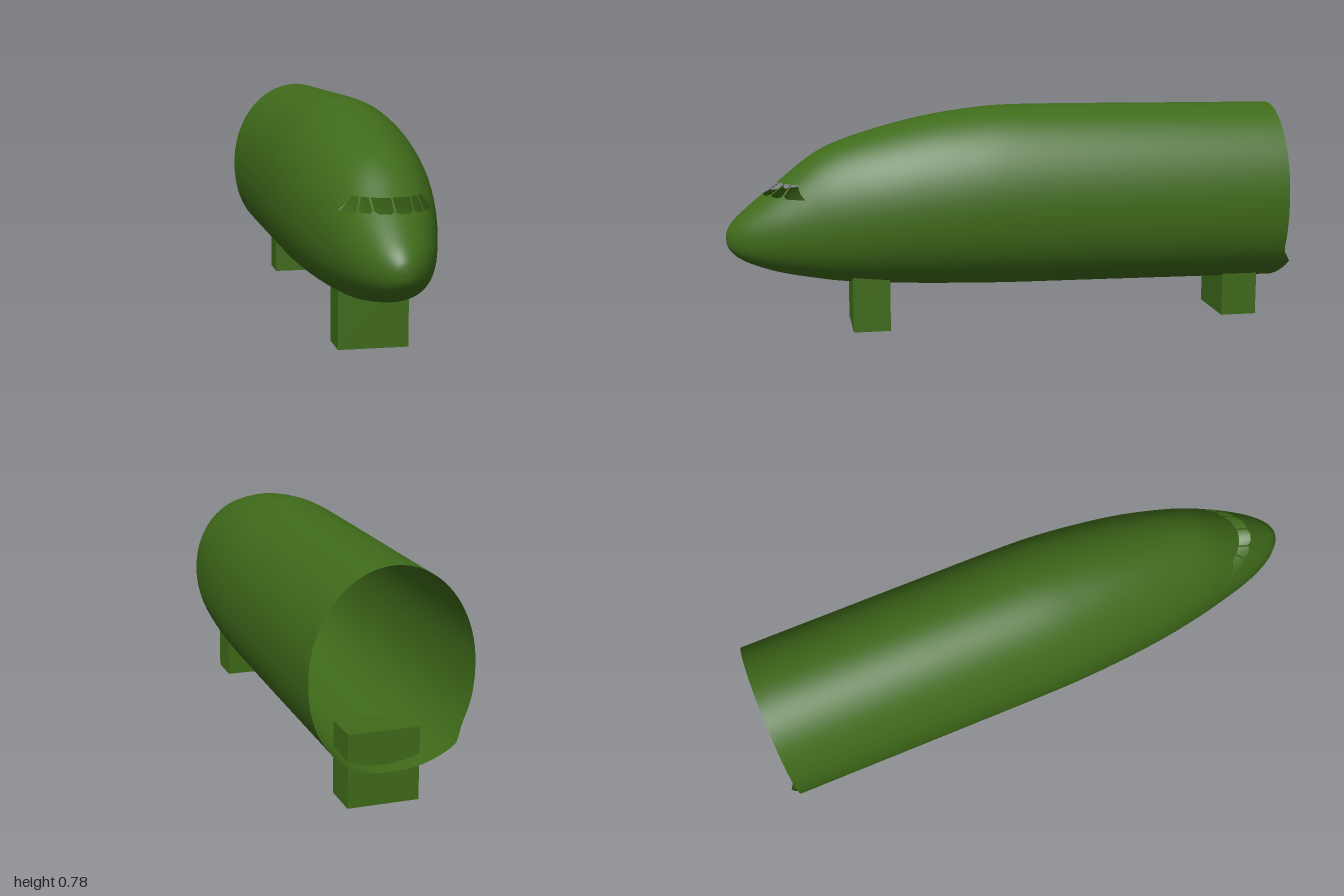
import * as THREE from 'three';

const material = new THREE.MeshStandardMaterial({ color: 0x3f6b1a, side: THREE.DoubleSide });

// Fuselage stations: z, half width, height of widest point, top, bottom
const STATIONS = [
  [1, 0, 0.33, 0.33, 0.33],
  [0.993, 0.028, 0.331, 0.362, 0.298],
  [0.97, 0.058, 0.333, 0.395, 0.27],
  [0.93, 0.09, 0.337, 0.432, 0.245],
  [0.87, 0.121, 0.345, 0.482, 0.222],
  [0.8, 0.147, 0.36, 0.537, 0.202],
  [0.7, 0.175, 0.378, 0.615, 0.183],
  [0.6, 0.2, 0.395, 0.664, 0.168],
  [0.45, 0.229, 0.415, 0.71, 0.157],
  [0.3, 0.247, 0.428, 0.745, 0.149],
  [0.15, 0.259, 0.437, 0.767, 0.144],
  [0, 0.264, 0.44, 0.778, 0.14],
  [-0.3, 0.265, 0.44, 0.777, 0.137],
  [-0.65, 0.265, 0.44, 0.773, 0.133],
  [-0.965, 0.265, 0.44, 0.77, 0.13],
];

// Windscreen panes of one side, as seen from the front (x, y)
const PANES = [
  [[0.003, 0.526], [0.003, 0.489], [0.016, 0.483], [0.048, 0.483], [0.059, 0.49], [0.061, 0.526]],
  [[0.066, 0.526], [0.064, 0.49], [0.072, 0.483], [0.094, 0.482], [0.099, 0.488], [0.086, 0.526]],
  [[0.091, 0.526], [0.104, 0.488], [0.115, 0.48], [0.148, 0.48], [0.108, 0.526]],
];
// Wheel bay opening under the nose (x, z)
const BAY = [[-0.053, 0.57], [0.053, 0.57], [0.053, 0.73], [-0.053, 0.73]];

const mix = (p, q, t) => p.map((v, k) => v + (q[k] - v) * t);

// Split a convex polygon by a signed distance function
function split(poly, dist) {
  const inside = [], outside = [];
  poly.forEach((p, i) => {
    const q = poly[(i + 1) % poly.length];
    const dp = dist(p), dq = dist(q);
    (dp >= 0 ? inside : outside).push(p);
    if (dp >= 0 !== dq >= 0) {
      const m = mix(p, q, dp / (dp - dq));
      inside.push(m);
      outside.push(m);
    }
  });
  return [inside, outside];
}

// Remove a convex opening from polygons, projected on axes u and v
function cut(polys, hole, u, v, applies) {
  const n = hole.length;
  const cu = hole.reduce((s, h) => s + h[0], 0) / n;
  const cv = hole.reduce((s, h) => s + h[1], 0) / n;
  const kept = [];
  for (const poly of polys) {
    if (!applies(poly[0])) { kept.push(poly); continue; }
    let rest = poly;
    const pieces = [];
    for (let i = 0; i < n && rest.length > 2; i++) {
      const [a, b] = [hole[i], hole[(i + 1) % n]];
      const side = (x, y) => (b[0] - a[0]) * (y - a[1]) - (b[1] - a[1]) * (x - a[0]);
      const sign = Math.sign(side(cu, cv));
      const [inside, outside] = split(rest, (p) => sign * side(p[u], p[v]));
      if (outside.length > 2) pieces.push(outside);
      rest = inside;
    }
    if (rest.length > 2) kept.push(...pieces);
    else kept.push(poly);
  }
  return kept;
}

function fuselageGeometry() {
  const SEG = 72, RINGS = 84;
  const plan = new THREE.CatmullRomCurve3(STATIONS.map((s) => new THREE.Vector3(s[0], s[1], s[2])), false, 'catmullrom', 0.5);
  const side = new THREE.CatmullRomCurve3(STATIONS.map((s) => new THREE.Vector3(s[0], s[3], s[4])), false, 'catmullrom', 0.5);
  const power = (v, e) => Math.sign(v) * Math.abs(v) ** e;

  // Rings from nose to open tail; the lower half is a little fuller
  const positions = [], index = [];
  for (let i = 0; i <= RINGS; i++) {
    const { x: z, y: w, z: mid } = plan.getPoint(i / RINGS);
    const { y: top, z: bottom } = side.getPoint(i / RINGS);
    for (let j = 0; j < SEG; j++) {
      const a = (j / SEG) * Math.PI * 2;
      const s = Math.sin(a), e = s < 0 ? 2 / 2.25 : 1;
      const y = mid + (s > 0 ? top - mid : mid - bottom) * power(s, e);
      // Small flared lip on the lower rear edge
      const lip = i === RINGS ? 0.035 * Math.max(0, Math.min((0.26 - y) / 0.05, (y - 0.13) / 0.08)) : 0;
      positions.push(w * power(Math.cos(a), e), y, z - lip);
    }
  }
  for (let i = 0; i < RINGS; i++) {
    for (let j = 0; j < SEG; j++) {
      const k = (j + 1) % SEG;
      const [a, b, c, d] = [i * SEG + j, (i + 1) * SEG + j, (i + 1) * SEG + k, i * SEG + k];
      index.push(a, b, c);
      if (i > 0) index.push(a, c, d);
    }
  }
  const grid = new THREE.BufferGeometry();
  grid.setAttribute('position', new THREE.Float32BufferAttribute(positions, 3));
  grid.setIndex(index);
  grid.computeVertexNormals();
  const normals = grid.attributes.normal;
  for (let j = 0; j < SEG; j++) normals.setXYZ(j, 0, 0, 1);

  // Cut the panes and the wheel bay out of the skin
  const corner = (i) => [...positions.slice(i * 3, i * 3 + 3), normals.getX(i), normals.getY(i), normals.getZ(i)];
  let polys = [];
  for (let i = 0; i < index.length; i += 3) polys.push([0, 1, 2].map((k) => corner(index[i + k])));
  for (const pane of PANES) {
    for (const m of [1, -1]) {
      polys = cut(polys, pane.map(([x, y]) => [m * x, y]), 0, 1, (p) => p[2] > 0.6 && p[1] > 0.42);
    }
  }
  polys = cut(polys, BAY, 0, 2, (p) => p[2] > 0.45 && p[1] < 0.28);

  const pos = [], nor = [];
  for (const poly of polys) {
    for (let i = 1; i < poly.length - 1; i++) {
      for (const p of [poly[0], poly[i], poly[i + 1]]) {
        pos.push(p[0], p[1], p[2]);
        nor.push(p[3], p[4], p[5]);
      }
    }
  }
  const geometry = new THREE.BufferGeometry();
  geometry.setAttribute('position', new THREE.Float32BufferAttribute(pos, 3));
  geometry.setAttribute('normal', new THREE.Float32BufferAttribute(nor, 3));
  return geometry;
}

export function createModel() {
  const group = new THREE.Group();
  group.name = 'aircraftFuselage';

  const fuselage = new THREE.Mesh(fuselageGeometry(), material);
  fuselage.name = 'fuselage';
  group.add(fuselage);

  // Support blocks reaching up through the floor of the hull
  for (const [name, z] of [['frontSupport', 0.505], ['rearSupport', -0.84]]) {
    const block = new THREE.Mesh(new THREE.BoxGeometry(0.234, 0.24, 0.13), material);
    block.name = name;
    block.position.set(0, 0.12, z);
    group.add(block);
  }
  return group;
}
